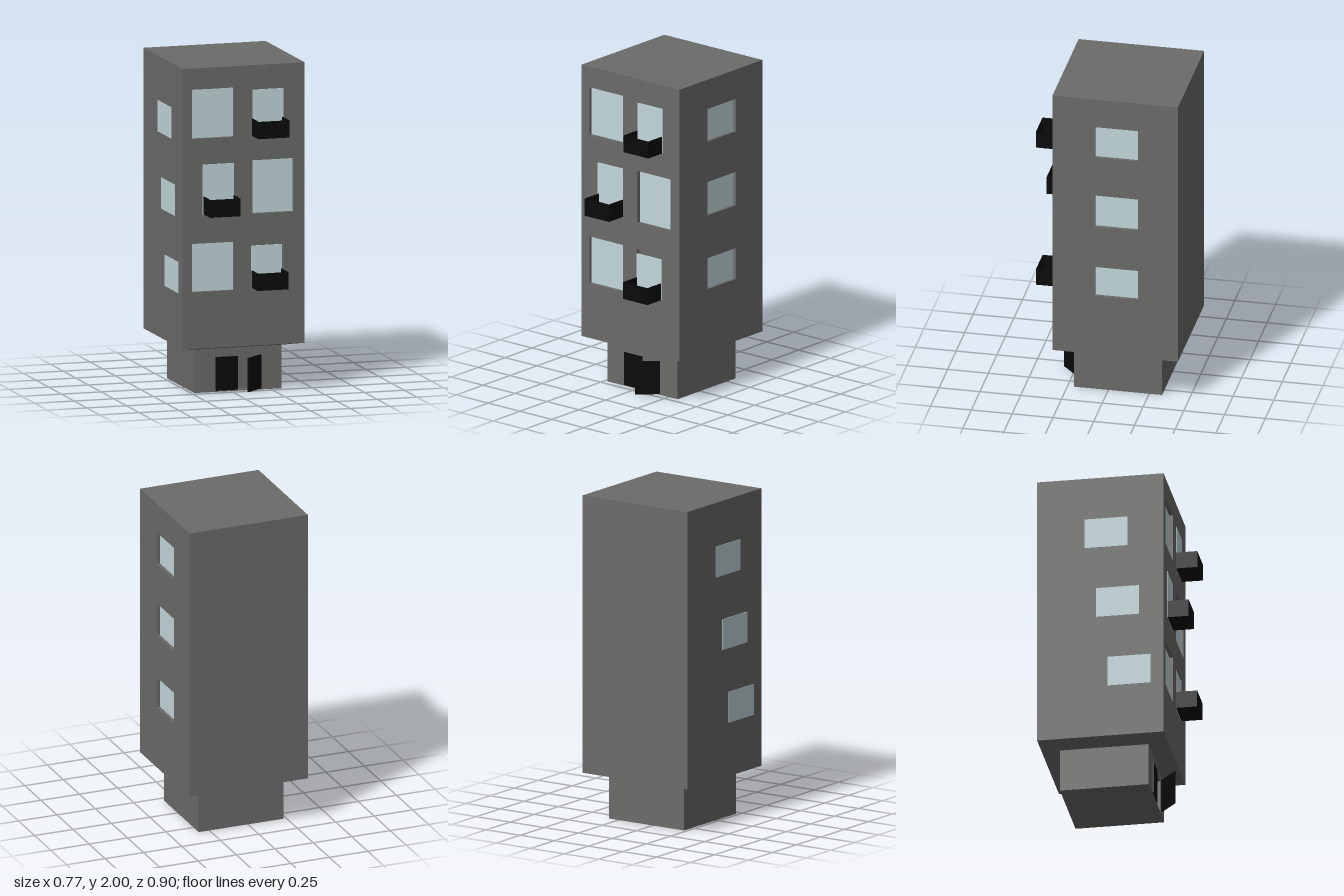
import * as THREE from 'three';

const wallMat = new THREE.MeshStandardMaterial({ color: 0x6b6c6a });
const slopeMat = new THREE.MeshStandardMaterial({ color: 0x6b6c6a, flatShading: true });
const glassMat = new THREE.MeshStandardMaterial({ color: 0xc4d8dc, side: THREE.DoubleSide });
const blackMat = new THREE.MeshStandardMaterial({ color: 0x0a0a0a });

// Box given by its lower and upper limits
function box(name, mat, x0, x1, y0, y1, z0, z1) {
  const mesh = new THREE.Mesh(new THREE.BoxGeometry(x1 - x0, y1 - y0, z1 - z0), mat);
  mesh.position.set((x0 + x1) / 2, (y0 + y1) / 2, (z0 + z1) / 2);
  mesh.name = name;
  return mesh;
}

// Flat wall with rectangular openings, each [x0, x1, y0, y1]
function panel(name, [x0, x1, y0, y1], holes, depth) {
  const corners = (a, b, c, d) => [[a, c], [b, c], [b, d], [a, d]].map(p => new THREE.Vector2(...p));
  const shape = new THREE.Shape(corners(x0, x1, y0, y1));
  holes.forEach(h => shape.holes.push(new THREE.Path(corners(...h).reverse())));
  const mesh = new THREE.Mesh(new THREE.ExtrudeGeometry(shape, { depth, bevelEnabled: false }), wallMat);
  mesh.name = name;
  return mesh;
}

export function createModel() {
  const model = new THREE.Group();
  const L = -0.34, R = 0.43, B = -0.45, F = 0.32, D = 0.025, Y0 = 0.29, Y1 = 2;

  // Front openings: wide windows and balcony doorways
  const windows = [
    [-0.28, -0.015, 1.57, 1.87],
    [0.1, 0.36, 1.095, 1.42],
    [-0.28, -0.015, 0.635, 0.93],
  ];
  const doorways = [
    [0.1, 0.3, 1.57, 1.855],
    [-0.213, -0.015, 1.105, 1.415],
    [0.095, 0.3, 0.64, 0.925],
  ];
  // Side openings, measured along -z
  const sideWindows = [[1.61, 1.815], [1.145, 1.355], [0.68, 0.875]].map(y => [-0.06, 0.205, ...y]);

  // Tower: solid core faced with pierced walls
  model.add(box('towerCore', wallMat, L, R - D, Y0, Y1, B, F - D));
  const front = panel('frontWall', [L, R, Y0, Y1], [...windows, ...doorways], D);
  front.position.z = F - D;
  const side = panel('sideWall', [D - F, -B, Y0, Y1], sideWindows, D);
  side.rotation.y = Math.PI / 2;
  side.position.x = R - D;
  model.add(front, side);

  // Recessed panes
  windows.forEach(([a, b, c, d]) =>
    model.add(box('frontWindow', glassMat, a, b, c, d, F - D, F - D + 0.004)));
  sideWindows.forEach(([a, b, c, d]) =>
    model.add(box('rightSideWindow', glassMat, R - D, R - D + 0.004, c, d, -b, -a)));

  // Flush panes on the opposite side, stepping forward going down
  [[-0.16, 1.54], [-0.09, 1.08], [-0.02, 0.62]].forEach(([z, y]) =>
    model.add(box('leftSideWindow', glassMat, L - 0.003, L + 0.005, y, y + 0.19, z, z + 0.26)));

  // Balcony glass doors and hollow balconies
  [
    [0.1, 0.295, 1.57, 1.85],
    [-0.213, -0.015, 1.105, 1.41],
    [0.093, 0.288, 0.645, 0.9],
  ].forEach(([a, b, c, d]) =>
    model.add(box('balconyDoor', glassMat, a, b, c, d, F - 0.004, F + 0.002)));
  [
    [0.097, 0.293, 1.57, 1.675],
    [-0.207, -0.015, 1.107, 1.215],
    [0.093, 0.287, 0.645, 0.75],
  ].forEach(([a, b, c, d]) => {
    const t = 0.005, z = 0.45, balcony = new THREE.Group();
    balcony.name = 'balcony';
    balcony.add(
      box('balconyFloor', blackMat, a, b, c, c + t, F, z),
      box('balconyFront', blackMat, a, b, c, d, z - t, z),
      box('balconySide', blackMat, a, a + t, c, d, F, z),
      box('balconySide', blackMat, b - t, b, c, d, F, z));
    model.add(balcony);
  });

  // Shallow sloping underside joining the tower to its base
  const slope = new THREE.Mesh(
    new THREE.CylinderGeometry(0.385 * Math.SQRT2, 0.273 * Math.SQRT2, 0.025, 4).rotateY(Math.PI / 4), slopeMat);
  slope.name = 'towerUnderside';
  slope.position.set(0.045, 0.2775, -0.065);
  model.add(slope);

  // Base with a shallow entrance recess
  const bx0 = -0.23, bx1 = 0.32, bz = 0.21;
  model.add(box('base', wallMat, bx0, bx1, 0, 0.275, -0.33, bz - 0.02));
  const baseFront = panel('baseFront', [bx0, bx1, 0, 0.275], [[-0.09, 0.19, 0.008, 0.213]], 0.02);
  baseFront.position.z = bz - 0.02;
  model.add(baseFront);

  // Entrance doors: one shut, one ajar
  model.add(box('closedDoor', blackMat, -0.095, 0.043, 0.008, 0.212, bz - 0.002, bz + 0.008));
  const hinge = new THREE.Group();
  hinge.name = 'openDoor';
  hinge.add(box('openDoorLeaf', blackMat, -0.15, 0, 0.008, 0.215, -0.005, 0.005));
  hinge.position.set(0.187, 0, bz + 0.007);
  hinge.rotation.y = Math.atan2(0.102, 0.112);
  model.add(hinge);

  return model;
}
